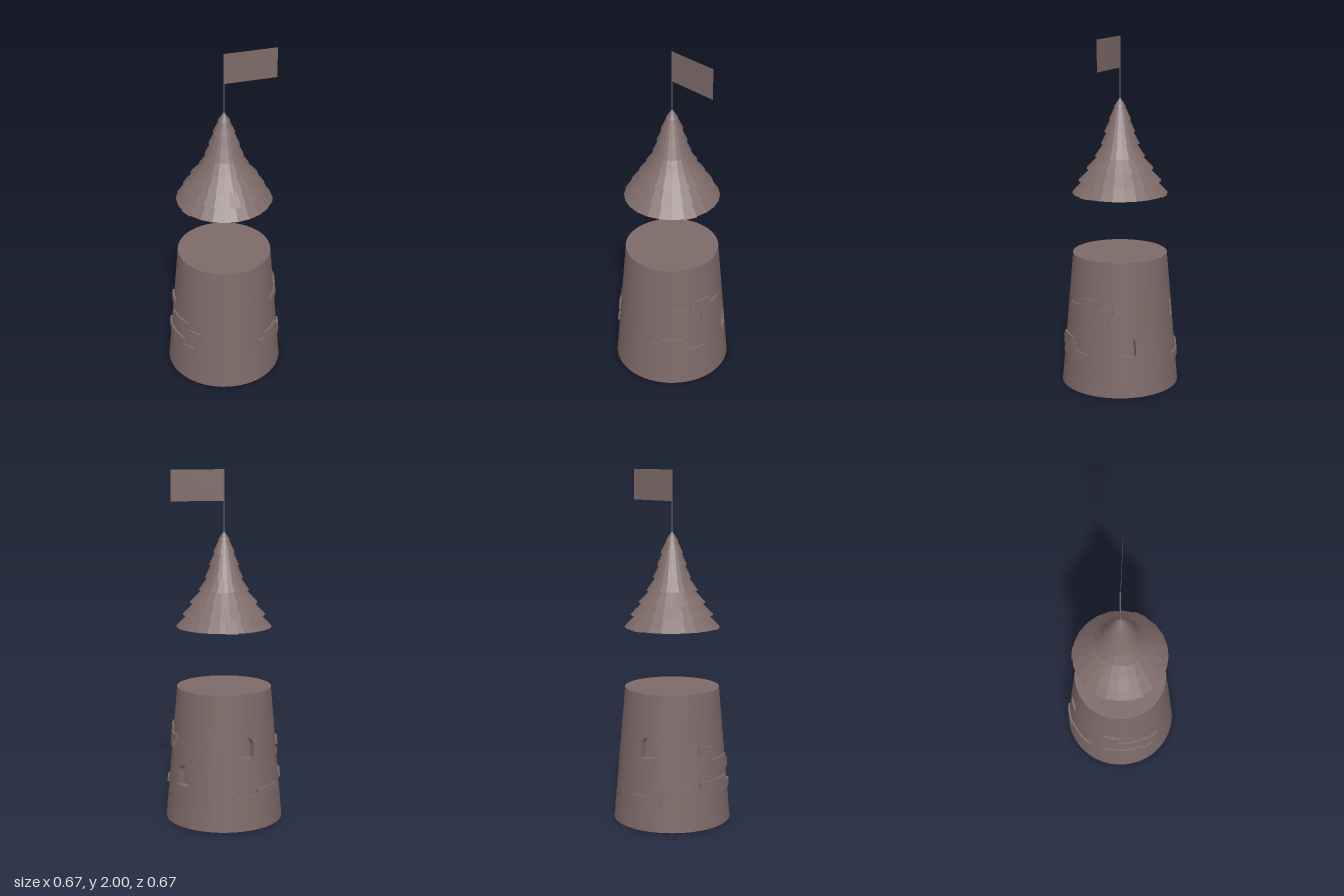
import * as THREE from 'three';

const H = 0.77, R0 = 0.337, R1 = 0.27;
const SLOPE = (R0 - R1) / H;
const deg = THREE.MathUtils.degToRad;
const stone = new THREE.MeshStandardMaterial({ color: 0x7d6b69 });
const thin = new THREE.MeshStandardMaterial({ color: 0x7d6b69, side: THREE.DoubleSide });
const faceted = new THREE.MeshStandardMaterial({ color: 0x7d6b69, side: THREE.DoubleSide, flatShading: true });

function add(parent, name, geometry, material = stone) {
  const mesh = new THREE.Mesh(geometry, material);
  mesh.name = name;
  parent.add(mesh);
  return mesh;
}

// Wraps (angle, height, distance from wall) coordinates around the tapered tower
function wrap(geometry, smooth = false) {
  const p = geometry.attributes.position, n = geometry.attributes.normal;
  const normal = new THREE.Vector3();
  for (let i = 0; i < p.count; i++) {
    const a = p.getX(i), y = p.getY(i), r = R0 - SLOPE * y + p.getZ(i);
    p.setXYZ(i, r * Math.sin(a), y, r * Math.cos(a));
    normal.set(Math.sin(a), SLOPE, Math.cos(a)).normalize();
    if (smooth) n.setXYZ(i, normal.x, normal.y, normal.z);
  }
  if (!smooth) geometry.computeVertexNormals();
  return geometry;
}

// Piece of wall between two angles; low and high give its edges for t = 0..1
function wallPiece(a0, a1, low, high, segments, offset = 0) {
  const g = new THREE.PlaneGeometry(1, 1, segments, 1);
  const p = g.attributes.position;
  for (let i = 0; i < p.count; i++) {
    const t = p.getX(i) + 0.5;
    p.setXYZ(i, a0 + (a1 - a0) * t, p.getY(i) > 0 ? high(t) : low(t), offset);
  }
  return wrap(g, true);
}

// Arched, recessed window with the wall strips above and below it
function addWindow(parent, { angle, sill, half }) {
  const N = 20, depth = 0.04, group = new THREE.Group();
  group.name = 'window';
  parent.add(group);
  const a0 = angle - half, a1 = angle + half;
  const arch = t => sill + 0.075 + 0.042 * Math.sqrt(Math.max(0, 1 - (2 * t - 1) ** 2));
  const bottom = () => sill;
  add(group, 'wallBelowWindow', wallPiece(a0, a1, () => 0, bottom, N));
  add(group, 'wallAboveWindow', wallPiece(a0, a1, arch, () => H, N));
  add(group, 'windowBack', wallPiece(a0, a1, bottom, arch, N, -depth));
  // reveal runs along the sill and back over the arch
  const outline = [];
  for (let i = 0; i <= N; i++) outline.push([a0 + 2 * half * i / N, sill]);
  for (let i = N; i >= 0; i--) outline.push([a0 + 2 * half * i / N, arch(i / N)]);
  outline.push(outline[0]);
  const reveal = new THREE.PlaneGeometry(1, 1, outline.length - 1, 1);
  const p = reveal.attributes.position;
  for (let i = 0; i < p.count; i++) {
    const [a, y] = outline[i % outline.length];
    p.setXYZ(i, a, y, i < outline.length ? 0 : -depth);
  }
  add(group, 'windowReveal', wrap(reveal.toNonIndexed()), thin);
}

// Raised stone row: [start angle, end angle, bottom, top]
const stones = [
  [66, 90, 0.51, 0.55], [48, 106, 0.47, 0.51], [79, 101, 0.43, 0.47],
  [32, 57, 0.275, 0.31], [24, 64, 0.235, 0.275], [37, 81, 0.196, 0.235],
  [205, 238, 0.2, 0.235], [180, 212, 0.16, 0.2],
  [253, 272, 0.43, 0.47], [270, 302, 0.35, 0.39], [285, 319, 0.31, 0.35],
  [253, 296, 0.235, 0.275], [278, 312, 0.196, 0.235],
];

function createTower() {
  const tower = new THREE.Group();
  tower.name = 'tower';
  const windows = [
    { angle: 2.141, sill: 0.235, half: 0.142 },
    { angle: 3.427, sill: 0.41, half: 0.142 },
  ];
  windows.forEach((w, i) => {
    addWindow(tower, w);
    // plain wall from this window round to the next
    const next = windows[(i + 1) % windows.length];
    const start = w.angle + w.half;
    let end = next.angle - next.half;
    if (end < start) end += Math.PI * 2;
    add(tower, 'wall', wallPiece(start, end, () => 0, () => H, Math.ceil((end - start) * 9)));
  });
  add(tower, 'towerTop', new THREE.CircleGeometry(R1, 56).rotateX(-Math.PI / 2)).position.y = H;
  add(tower, 'towerBase', new THREE.CircleGeometry(R0, 56).rotateX(Math.PI / 2));
  for (const [s, e, y0, y1] of stones) {
    const g = new THREE.BoxGeometry(deg(e - s), y1 - y0, 0.022, 10, 1, 1);
    g.translate(deg((s + e) / 2), (y0 + y1) / 2, 0);
    add(tower, 'raisedStones', wrap(g));
  }
  return tower;
}

function createRoof() {
  const roof = new THREE.Group();
  roof.name = 'roof';
  const radii = [0.272, 0.235, 0.19, 0.142, 0.108, 0.085, 0.062, 0.034, 0];
  const base = 1.117, step = 0.07;
  const topRadius = i => radii[i + 1] * 0.87;
  const height = i => (i === 7 ? 1.66 - base - 7 * step : step);
  // overlapping rings of shingles, each closed below
  for (let i = 0; i < 8; i++) {
    const g = new THREE.CylinderGeometry(topRadius(i), radii[i], height(i), 24);
    add(roof, 'roofTier', g, faceted).position.y = base + i * step + height(i) / 2;
  }
  // loose shingles standing slightly proud: [tier, start angle, arc]
  const loose = [[0, 172, 15], [0, 285, 15], [0, 60, 15], [1, 337, 30], [1, 120, 15],
    [2, 60, 45], [2, 215, 30], [3, 141, 30], [3, 285, 30], [4, 195, 30],
    [5, 30, 30], [6, 140, 30]];
  for (const [i, start, arc] of loose) {
    const g = new THREE.CylinderGeometry(topRadius(i) + 0.002, radii[i] + 0.005, step, arc / 15, 1,
      true, deg(start), deg(arc));
    add(roof, 'looseShingle', g, faceted).position.y = base + (i + 0.5) * step - 0.002;
  }
  return roof;
}

export function createModel() {
  const model = new THREE.Group();
  model.name = 'castleTower';
  model.add(createTower(), createRoof());

  // Flag on a thin pole
  add(model, 'flagPole', new THREE.CylinderGeometry(0.003, 0.003, 0.36, 8)).position.y = 1.82;
  add(model, 'flag', new THREE.PlaneGeometry(0.3, 0.175), thin).position.set(0.15, 1.9125, 0);
  return model;
}
